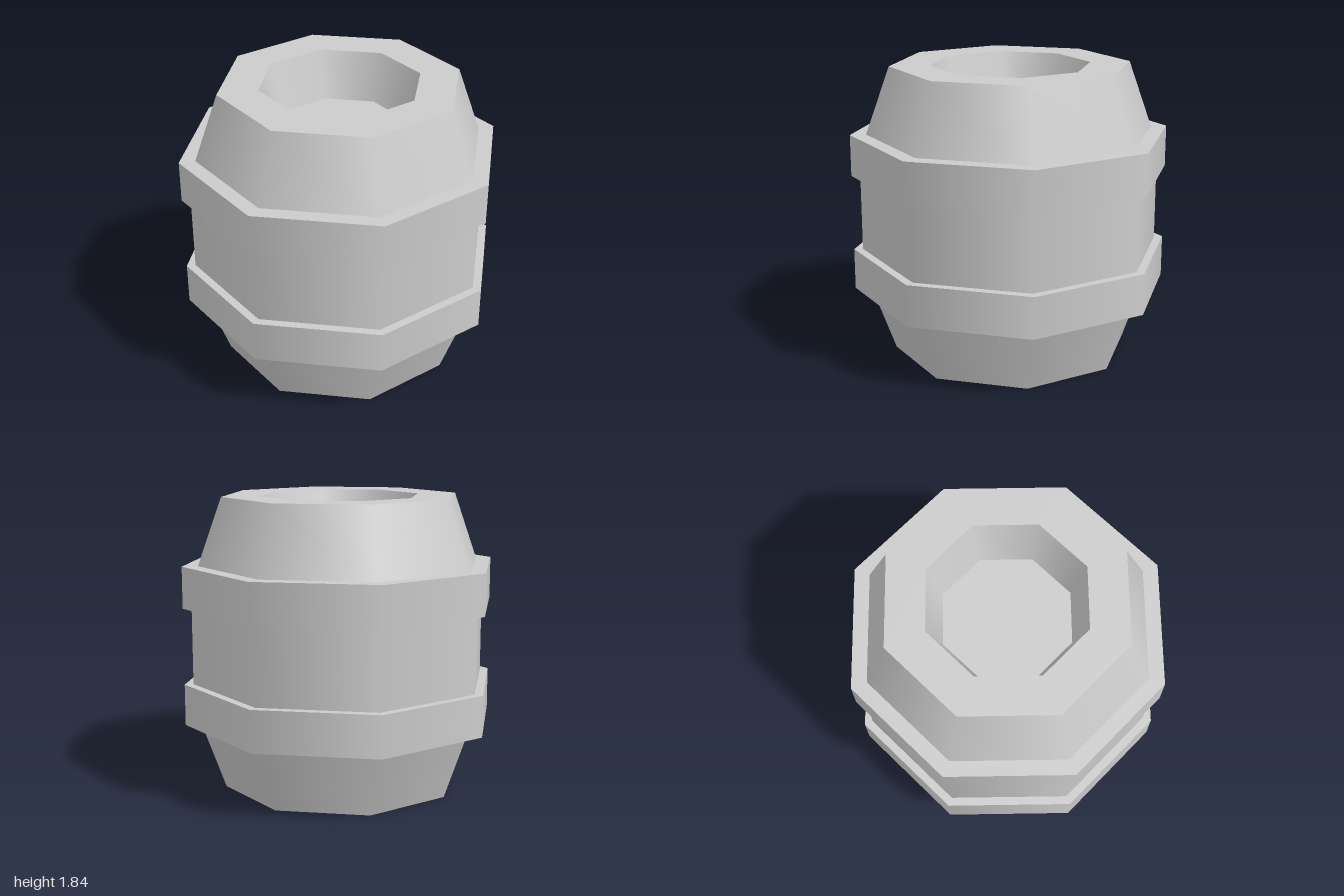
import * as THREE from 'three';
import { mergeGeometries } from 'three/addons/utils/BufferGeometryUtils.js';

const SIDES = 8;

// Turn a [radius, height] profile, one strip per segment: smooth around, sharp between strips
function turned(profile) {
  const strips = [];
  for (let i = 0; i < profile.length - 1; i++) {
    const ends = [profile[i], profile[i + 1]].map(([r, y]) => new THREE.Vector2(r, y));
    strips.push(new THREE.LatheGeometry(ends, SIDES));
  }
  return mergeGeometries(strips);
}

export function createModel() {
  const barrel = new THREE.Group();
  barrel.name = 'barrel';
  const grey = new THREE.MeshStandardMaterial({ color: 0xcccccc });
  grey.name = 'light grey';

  const add = (name, profile) => {
    const mesh = new THREE.Mesh(turned(profile), grey);
    mesh.name = name;
    barrel.add(mesh);
  };

  // Tapered ends and straight belly
  add('lowerBody', [[0, 0], [0.75, 0], [0.9, 0.42]]);
  add('belly', [[0.945, 0.68], [0.945, 1.16]]);
  add('upperBody', [[0.9, 1.42], [0.75, 1.84], [0.5, 1.84]]);

  // Tapered hollow in the top
  add('recess', [[0.5, 1.84], [0.41, 1.54], [0, 1.54]]);

  // Two raised hoops, their ledges meeting the body
  add('lowerHoop', [[0.9, 0.42], [1, 0.42], [1, 0.68], [0.945, 0.68]]);
  add('upperHoop', [[0.945, 1.16], [1, 1.16], [1, 1.42], [0.9, 1.42]]);

  return barrel;
}
